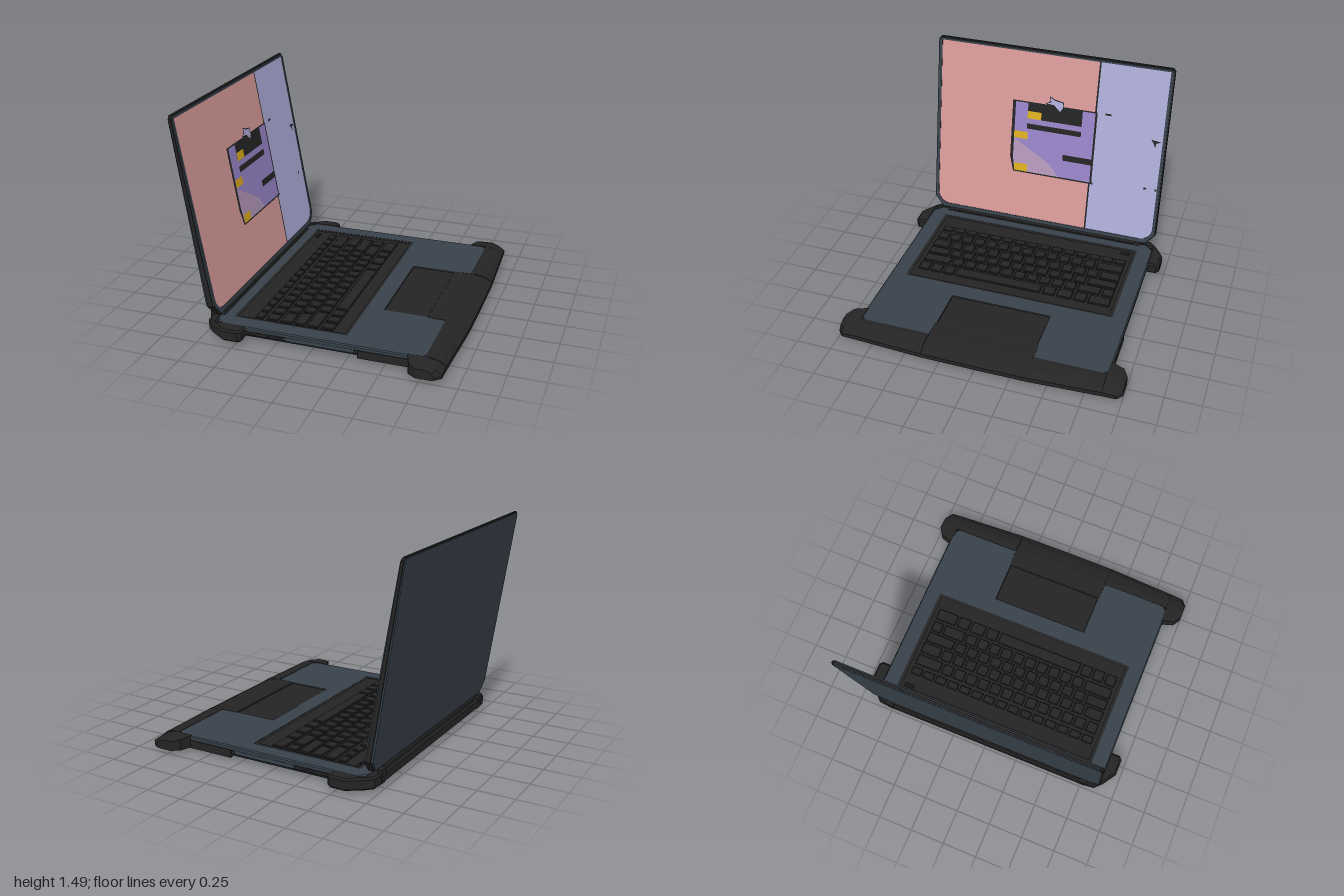
import * as THREE from 'three';

const mat = (name, color, side = THREE.FrontSide) => {
  const m = new THREE.MeshStandardMaterial({ color, side });
  m.name = name;
  return m;
};

export function createModel() {
  const slate = mat('slate', 0x38424b);
  const black = mat('black', 0x242424);
  const dark = mat('recess black', 0x1d1d1d);
  const pink = mat('pink', 0xd89b99);
  const lavender = mat('lavender', 0xadacd8);
  const purple = mat('purple', 0x9683c6);
  const mauve = mat('mauve', 0xb297b9);
  const yellow = mat('yellow', 0xd9ac20);

  const model = new THREE.Group();
  model.name = 'laptop';
  const group = (name) => {
    const g = new THREE.Group();
    g.name = name;
    model.add(g);
    return g;
  };
  const add = (parent, name, geo, material) => {
    const m = new THREE.Mesh(geo, material);
    m.name = name;
    parent.add(m);
    return m;
  };
  const toShape = (pts) => new THREE.Shape(pts.map(([x, y]) => new THREE.Vector2(x, y)));
  const rect = (a, b, c, d) => [[a, c], [b, c], [b, d], [a, d]];
  const chamfered = (a, b, c, d, r) => [[a + r, c], [b - r, c], [b, c + r], [b, d - r],
    [b - r, d], [a + r, d], [a, d - r], [a, c + r]];

  // Horizontal slab from an outline in (x, z), with bevelled edges and optional holes
  const slab = (pts, y0, y1, bevel = 0.006, holes = []) => {
    const flip = (list) => list.map(([x, z]) => [x, -z]);
    const shape = toShape(flip(pts));
    holes.forEach((h) => shape.holes.push(toShape(flip(h))));
    const geo = new THREE.ExtrudeGeometry(shape, {
      depth: y1 - y0 - 2 * bevel, bevelEnabled: bevel > 0,
      bevelThickness: bevel, bevelSize: bevel, bevelOffset: -bevel, bevelSegments: 1,
    });
    return geo.rotateX(-Math.PI / 2).translate(0, y0 + bevel, 0);
  };

  // ---- Base: tray, core, deck ----
  const base = group('base');
  add(base, 'bottomTray', slab(chamfered(-0.7, 0.82, -0.86, 0.86, 0.05), 0.022, 0.045, 0.01), slate);
  add(base, 'core', slab(chamfered(-0.71, 0.8, -0.875, 0.875, 0.05), 0.042, 0.088, 0.004), black);
  const keyWell = rect(-0.59, 0.22, -0.78, 0.78);
  const padWell = rect(0.325, 0.645, -0.37, 0.37);
  add(base, 'deck', slab(chamfered(-0.68, 0.79, -0.885, 0.885, 0.06), 0.07, 0.104, 0.008, [keyWell, padWell]), slate);
  add(base, 'keyboardSurround', slab(keyWell, 0.08, 0.1, 0.004, [rect(-0.565, 0.195, -0.75, 0.75)]), black);
  add(base, 'trackpad', slab(rect(0.333, 0.637, -0.362, 0.362), 0.08, 0.1, 0.003), black);
  add(base, 'hingeShelf', slab(rect(-0.74, -0.64, -0.78, 0.78), 0.03, 0.106, 0.012), black);
  add(base, 'padUnderside', new THREE.BoxGeometry(0.32, 0.006, 0.76).translate(0.47, 0.0215, 0), dark);

  // ---- Keyboard: each row lists key widths from the left-hand end ----
  const keys = group('keyboard');
  const rows = [
    [-0.45, -0.395, Array(15).fill(1)],
    [-0.37, -0.29, [...Array(13).fill(1), 2.2]],
    [-0.27, -0.19, [1.5, ...Array(12).fill(1), 1.7]],
    [-0.175, -0.1, [1.8, ...Array(11).fill(1), 2.4]],
    [-0.085, -0.005, [2.3, ...Array(10).fill(1), 1.9, 1]],
    [0.015, 0.1, [1, 1, 1, 6.9, 1.1, 1.3, 1.1, 1.8]],
  ];
  rows.forEach(([x0, x1, widths]) => {
    const unit = 1.46 / widths.reduce((s, w) => s + w, 0);
    let z = 0.73;
    widths.forEach((w) => {
      add(keys, 'key', slab(rect(x0, x1, z - w * unit + 0.009, z - 0.009), 0.085, 0.101, 0.005), black);
      z -= w * unit;
    });
  });
  for (const z of [-0.71, -0.67]) {
    add(keys, 'powerButton', slab(rect(-0.555, -0.53, z - 0.014, z + 0.014), 0.085, 0.096, 0.003), black);
  }

  // ---- Front bumper: cross-sections [z, inner x, outer x, top y] lofted along z ----
  const half = [[0, 0.64, 0.92, 0.106], [0.37, 0.64, 0.918, 0.106], [0.371, 0.76, 0.918, 0.107],
    [0.73, 0.76, 0.9, 0.107], [0.87, 0.76, 0.893, 0.108], [0.871, 0.645, 0.893, 0.108],
    [0.965, 0.675, 0.89, 0.1], [1, 0.73, 0.85, 0.09]];
  const sections = [...half.slice(1).reverse().map(([z, ...r]) => [-z, ...r]), ...half];
  const rings = sections.map(([z, xi, xo, top]) => {
    const xm = Math.min(0.8, xi + 0.5 * (xo - xi));
    return [[xi, 0.024], [xi, top], [xm, top], [xm + (xo - xm) * 0.62, top - 0.016],
      [xo, top - 0.045], [xo, 0.03], [xo - 0.02, 0.024]].map(([x, y]) => [x, y, z]);
  });
  const pos = [];
  const tri = (...p) => p.forEach((v) => pos.push(...v));
  const n = rings[0].length;
  for (let i = 0; i < rings.length - 1; i++) {
    for (let j = 0; j < n; j++) {
      const k = (j + 1) % n;
      tri(rings[i][j], rings[i + 1][j], rings[i + 1][k]);
      tri(rings[i][j], rings[i + 1][k], rings[i][k]);
    }
  }
  const last = rings[rings.length - 1];
  for (let k = 1; k < n - 1; k++) {
    tri(rings[0][0], rings[0][k], rings[0][k + 1]);
    tri(last[0], last[k + 1], last[k]);
  }
  const bumper = new THREE.BufferGeometry();
  bumper.setAttribute('position', new THREE.Float32BufferAttribute(pos, 3));
  bumper.computeVertexNormals();
  add(base, 'frontBumper', bumper, black);

  // ---- Mirrored side parts: rear corner guards, rails, ports, feet ----
  for (const s of [1, -1]) {
    const corner = [[-0.74, 0.74], [-0.73, 0.85], [-0.68, 0.9], [-0.58, 0.966], [-0.475, 0.966],
      [-0.452, 0.945], [-0.452, 0.87], [-0.66, 0.87], [-0.67, 0.74]].map(([x, z]) => [x, z * s]);
    add(base, 'rearCornerGuard', slab(corner, 0.024, 0.106, 0.012), black);
    add(base, 'sideRail', new THREE.BoxGeometry(0.34, 0.055, 0.02).translate(0.49, 0.047, 0.875 * s), black);
    add(base, 'portPanel', new THREE.BoxGeometry(0.46, 0.03, 0.008).translate(0.06, 0.064, 0.878 * s), slate);
    for (const [x, w] of [[-0.4, 0.07], [-0.31, 0.05], [-0.23, 0.05]]) {
      add(base, 'port', new THREE.BoxGeometry(w, 0.022, 0.008).translate(x, 0.062, 0.876 * s), dark);
    }
    for (const x of [-0.58, 0.73]) {
      add(base, 'foot', new THREE.CylinderGeometry(0.047, 0.038, 0.026, 20).translate(x, 0.013, 0.78 * s), black);
    }
  }

  // Underside vents
  for (let r = 0; r < 4; r++) {
    for (let i = 0; i < 18; i++) {
      add(base, 'ventSlot', new THREE.BoxGeometry(0.014, 0.004, 0.06)
        .translate(-0.51 + r * 0.032, 0.0215, -0.68 + i * 0.08), dark);
    }
  }

  // ---- Hinge ----
  add(base, 'hinge', new THREE.CylinderGeometry(0.028, 0.028, 1.46, 14)
    .rotateX(Math.PI / 2).translate(-0.69, 0.112, 0), black);
  for (const z of [-0.76, 0.76]) {
    add(base, 'hingePost', new THREE.BoxGeometry(0.03, 0.05, 0.06).translate(-0.73, 0.108, z), black);
  }

  // ---- Lid: outlines in (-z, y) leaned back and tapered towards the top ----
  const lid = group('lid');
  const lean = (geo) => {
    geo.rotateY(Math.PI / 2);
    const p = geo.attributes.position;
    for (let i = 0; i < p.count; i++) {
      const t = (p.getY(i) - 0.145) / 1.345;
      const x = p.getX(i);
      p.setX(i, -0.659 - 0.238 * t + (x < 0 ? x * (1 - 0.55 * t) : x));
    }
    geo.computeVertexNormals();
    return geo;
  };
  const panel = (pts, d0, d1, hole) => {
    const shape = toShape(pts);
    if (hole) shape.holes.push(toShape(hole));
    return lean(new THREE.ExtrudeGeometry(shape, { depth: d1 - d0, bevelEnabled: false }).translate(0, 0, d0));
  };
  const outline = (e) => [[-0.82 + e, 0.127 + e], [0.82 - e, 0.127 + e], [0.885 - e, 0.21], [0.885 - e, 1.47 - e],
    [0.868 - e, 1.49 - e], [-0.868 + e, 1.49 - e], [-0.885 + e, 1.47 - e], [-0.885 + e, 0.21]];
  // Screen outline with rounded lower corners
  const arc = [0, 1, 2, 3, 4].map((i) => (i * Math.PI) / 8);
  const screen = [[-0.855, 1.468], ...arc.map((a) => [-0.765 - 0.09 * Math.cos(a), 0.255 - 0.09 * Math.sin(a)]),
    ...arc.map((a) => [0.765 + 0.09 * Math.sin(a), 0.255 - 0.09 * Math.cos(a)]), [0.855, 1.468]];
  add(lid, 'lidBack', panel(outline(0.008), -0.06, -0.045), slate);
  add(lid, 'lidCore', panel(outline(0), -0.045, -0.008), black);
  add(lid, 'bezel', panel(outline(0.008), -0.008, 0.004, screen), slate);

  // ---- Screen picture, layered as thin faces ----
  const plate = (name, pts, layer, material) =>
    add(lid, name, lean(new THREE.ShapeGeometry(toShape(pts)).translate(0, 0, 0.0005 + layer * 0.0012)), material);
  const split = 0.345;
  plate('screenLeft', [...screen.slice(0, 6), [split, 0.165], [split, 1.468]], 0, pink);
  plate('screenRight', [[split, 1.468], [split, 0.165], ...screen.slice(6)], 0, lavender);
  plate('divider', [[0.334, 0.166], [0.346, 0.166], [0.355, 1.467], [0.343, 1.467]], 1, black);
  plate('windowBorder', [[-0.255, 0.533], [0.36, 0.533], [0.36, 1.095], [-0.285, 1.095], [-0.285, 0.65]], 2, black);
  plate('windowFill', [[-0.245, 0.545], [0.345, 0.545], [0.345, 1.086], [-0.262, 1.086], [-0.262, 0.65]], 3, purple);
  plate('windowGlow', [[-0.245, 0.545], [0.1, 0.545], [0.02, 0.64], [-0.26, 0.8], [-0.262, 0.65]], 4, mauve);
  plate('headerBlock', rect(-0.165, 0.25, 0.968, 1.09), 4, black);
  plate('longBar', rect(-0.165, 0.25, 0.888, 0.928), 4, black);
  plate('shortBar', rect(0.125, 0.345, 0.682, 0.728), 4, black);
  for (const r of [[-0.165, -0.06, 0.968, 1.026], [-0.262, -0.157, 0.805, 0.86], [-0.248, -0.145, 0.545, 0.605]]) {
    plate('yellowTag', rect(...r), 5, yellow);
  }
  plate('pointer', [[-0.025, 1.105], [0.03, 1.1], [0.08, 1.055], [0.1, 1.09], [0.095, 1.125],
    [0.035, 1.135], [0, 1.155], [0.01, 1.12]], 5, lavender);
  plate('pointerEdge', [[-0.035, 1.1], [0.03, 1.09], [0.1, 1.09], [0.105, 1.13], [0.035, 1.143], [-0.004, 1.163], [0, 1.125]], 4, black);
  plate('speckMark', [[0.77, 0.955], [0.845, 0.945], [0.81, 0.93], [0.805, 0.895], [0.79, 0.93]], 1, black);
  for (const [u, v, w] of [[0.44, 1.09, 0.045], [0.765, 0.573, 0.022], [0.845, 0.573, 0.015], [0.36, 0.54, 0.022]]) {
    plate('speck', rect(u - w / 2, u + w / 2, v - 0.007, v + 0.007), 2, black);
  }

  return model;
}
